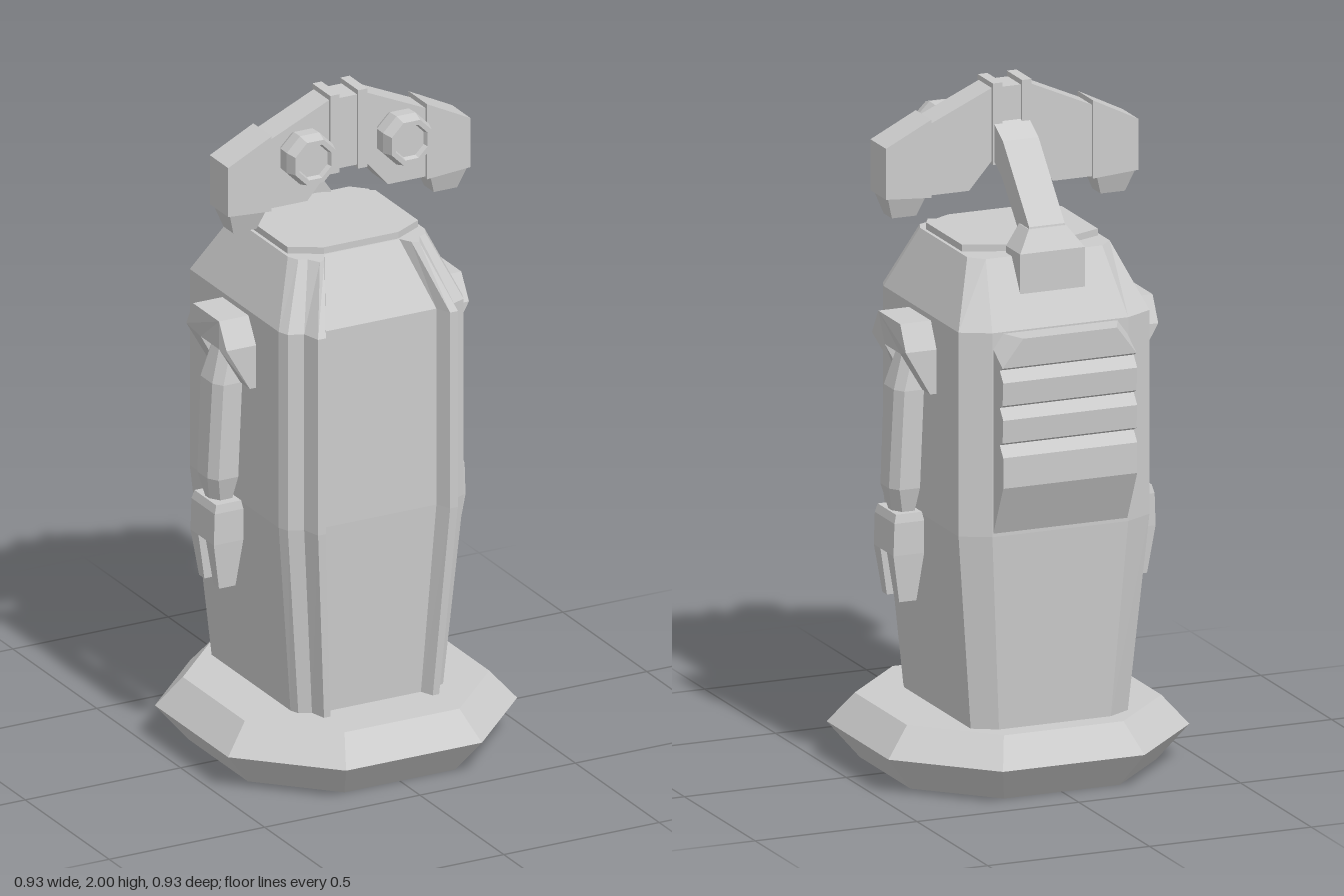
import * as THREE from 'three';

const material = new THREE.MeshStandardMaterial({ color: 0xcccccc, flatShading: true });

// Skin cross-sections stacked along y; each ring is [x, z] pairs, counterclockwise from above
function loft(rings) {
  const out = [];
  const n = rings[0].pts.length;
  const put = (ring, i) => out.push(ring.pts[i % n][0], ring.y, ring.pts[i % n][1]);
  for (let r = 0; r < rings.length - 1; r++) {
    const a = rings[r], b = rings[r + 1];
    for (let i = 0; i < n; i++) {
      put(a, i); put(a, i + 1); put(b, i + 1);
      put(a, i); put(b, i + 1); put(b, i);
    }
  }
  const cap = (ring, flip) => {
    const flat = ring.pts.map(([x, z]) => new THREE.Vector2(x, -z));
    for (const f of THREE.ShapeUtils.triangulateShape(flat, [])) {
      for (const i of flip ? [f[2], f[1], f[0]] : f) put(ring, i);
    }
  };
  cap(rings[0], true);
  cap(rings[rings.length - 1], false);
  const g = new THREE.BufferGeometry();
  g.setAttribute('position', new THREE.Float32BufferAttribute(out, 3));
  g.computeVertexNormals();
  return g;
}

const rect = (y, x0, x1, z0, z1) => ({ y, pts: [[x0, z1], [x1, z1], [x1, z0], [x0, z0]] });

// Front outline [x, y] given thickness from z0 to z1
function plate(points, z0, z1) {
  const shape = new THREE.Shape(points.map(([x, y]) => new THREE.Vector2(x, y)));
  return new THREE.ExtrudeGeometry(shape, { depth: z1 - z0, bevelEnabled: false }).translate(0, 0, z0);
}

// Side outline [z, y] given thickness from x0 to x1
function sidePlate(points, x0, x1) {
  return plate(points, 0, x1 - x0).rotateY(-Math.PI / 2).translate(x1, 0, 0);
}

function moveVertices(g, rule) {
  const p = g.attributes.position, v = new THREE.Vector3();
  for (let i = 0; i < p.count; i++) {
    v.fromBufferAttribute(p, i);
    rule(v);
    p.setXYZ(i, v.x, v.y, v.z);
  }
  g.computeVertexNormals();
  return g;
}

// Copy to the other side of x = 0 and restore the winding
function mirrored(geometry) {
  const g = geometry.index ? geometry.toNonIndexed() : geometry.clone();
  g.scale(-1, 1, 1);
  const p = g.attributes.position, a = new THREE.Vector3(), b = new THREE.Vector3();
  for (let i = 0; i < p.count; i += 3) {
    a.fromBufferAttribute(p, i + 1);
    b.fromBufferAttribute(p, i + 2);
    p.setXYZ(i + 1, b.x, b.y, b.z);
    p.setXYZ(i + 2, a.x, a.y, a.z);
  }
  g.computeVertexNormals();
  return g;
}

export function createModel() {
  const model = new THREE.Group();
  model.name = 'robot';
  const add = (name, geometry) => {
    const mesh = new THREE.Mesh(geometry, material);
    mesh.name = name;
    model.add(mesh);
  };
  const addPair = (name, geometry) => {
    add(name + 'Left', geometry);
    add(name + 'Right', mirrored(geometry));
  };

  // Octagonal foot with a recess underneath
  const octagon = (y, r) => {
    const k = r * 0.47;
    return { y, pts: [[-k, r], [k, r], [r, k], [r, -k], [k, -r], [-k, -r], [-r, -k], [-r, k]] };
  };
  add('base', loft([octagon(0.03, 0.25), octagon(0, 0.25), octagon(0, 0.38), octagon(0.105, 0.465), octagon(0.19, 0.393)]));

  // Body with ribbed front corners: half sections, mirrored into rings
  const full = (y, half) => ({ y, pts: [...half, ...half.map(([x, z]) => [-x, z]).reverse()] });
  const wide = [[0.18, 0.265], [0.2, 0.31], [0.225, 0.31], [0.24, 0.255], [0.283, 0.237], [0.295, 0.205], [0.295, -0.325], [0.21, -0.37]];
  const foot = wide.map(([x, z]) => [x * 0.82, (z + 0.03) * 0.885 - 0.03]);
  const neckline = [[0.12, 0.155], [0.14, 0.19], [0.16, 0.2], [0.18, 0.165], [0.205, 0.155], [0.22, 0.12], [0.22, -0.215], [0.18, -0.255]];
  add('body', loft([full(0.18, foot), full(0.77, wide), full(1.37, wide), full(1.555, neckline)]));

  // Flat lid with tapered ends
  const lid = [[0.12, 0.15], [0.21, 0.1], [0.21, -0.155], [0.06, -0.215]];
  add('lid', loft([full(1.54, lid), full(1.575, lid)]));

  // Louvred vent on the back
  const vent = [[-0.3, 1.365], [-0.3, 0.78], [-0.37, 0.78], [-0.44, 0.93]];
  for (const y of [1.04, 1.15, 1.26]) vent.push([-0.44, y - 0.02], [-0.415, y + 0.012], [-0.435, y + 0.022]);
  vent.push([-0.44, 1.365]);
  add('backVent', moveVertices(sidePlate(vent, -0.207, 0.207), (v) => {
    if (v.y > 1.36 && v.z < -0.4) v.x = Math.sign(v.x) * 0.145;
  }));

  // Neck bracket and bent neck arm
  add('neckBracket', loft([
    rect(1.43, -0.1, 0.1, -0.315, -0.22),
    rect(1.575, -0.1, 0.1, -0.315, -0.215),
    rect(1.635, -0.058, 0.058, -0.28, -0.21),
  ]));
  add('neck', sidePlate([[-0.02, 1.885], [-0.09, 1.845], [-0.275, 1.64], [-0.29, 1.56], [-0.24, 1.56], [-0.21, 1.6], [-0.08, 1.74], [-0.02, 1.775]], -0.055, 0.055));

  // Head: swept crossbar, raised bands, end blocks with short nozzles
  const bar = [[0.06, 1.985], [0.25, 1.9], [0.25, 1.69], [0.13, 1.69], [0.06, 1.77]];
  add('headBar', plate([...bar, ...bar.map(([x, y]) => [-x, y]).reverse()], -0.022, 0.07));
  addPair('headBand', plate([[0.03, 1.76], [0.06, 1.76], [0.06, 2], [0.03, 2]], -0.03, 0.077));
  addPair('headEnd', plate([[0.25, 1.685], [0.39, 1.695], [0.39, 1.845], [0.25, 1.915]], -0.03, 0.08));
  addPair('headNozzle', loft([rect(1.63, 0.285, 0.36, -0.003, 0.055), rect(1.695, 0.262, 0.382, -0.025, 0.075)]));

  // Octagonal eyes with sunken lenses
  const eyeProfile = [[0, 0.05], [0.055, 0.05], [0.078, 0.09], [0.08, 0.13], [0.07, 0.165], [0.055, 0.165], [0.05, 0.15], [0, 0.15]]
    .map(([r, y]) => new THREE.Vector2(r, y));
  addPair('eye', new THREE.LatheGeometry(eyeProfile, 8).rotateY(Math.PI / 8).rotateX(Math.PI / 2).translate(0.155, 1.847, 0));

  // Arched shoulders, sloping inward toward their lower ends
  const arch = [[0.07, 1.15], [0.07, 1.28], [0.025, 1.355], [-0.13, 1.355], [-0.17, 1.28], [-0.17, 1.15], [-0.115, 1.15], [-0.105, 1.26], [0.005, 1.26], [0.015, 1.15]];
  addPair('shoulder', moveVertices(sidePlate(arch, 0.28, 0.39), (v) => {
    if (v.x > 0.35 && v.y < 1.28) v.x = 0.39 - (1.28 - v.y) * 0.577;
  }));

  // Arms with chamfered outer faces
  const armRing = (y, x0, x1, z0, z1) => ({
    y, pts: [[x0, z1], [x1 - 0.02, z1], [x1, z1 - 0.03], [x1, z0 + 0.03], [x1 - 0.02, z0], [x0, z0]],
  });
  addPair('arm', loft([
    armRing(0.78, 0.33, 0.385, -0.09, -0.012),
    armRing(0.86, 0.32, 0.403, -0.11, 0.01),
    armRing(1.15, 0.31, 0.39, -0.115, 0.015),
    armRing(1.265, 0.29, 0.355, -0.1, -0.002),
  ]));

  // Hands with two fingers
  addPair('palm', loft([
    rect(0.67, 0.31, 0.405, -0.117, 0.022),
    rect(0.765, 0.31, 0.402, -0.117, 0.022),
    rect(0.79, 0.315, 0.395, -0.112, 0.018),
  ]));
  for (const [name, z0, z1, t0, t1] of [['frontFinger', -0.025, 0.022, -0.02, 0.012], ['backFinger', -0.117, -0.07, -0.107, -0.075]]) {
    addPair(name, loft([rect(0.53, 0.33, 0.383, t0, t1), rect(0.67, 0.31, 0.405, z0, z1)]));
  }
  return model;
}
